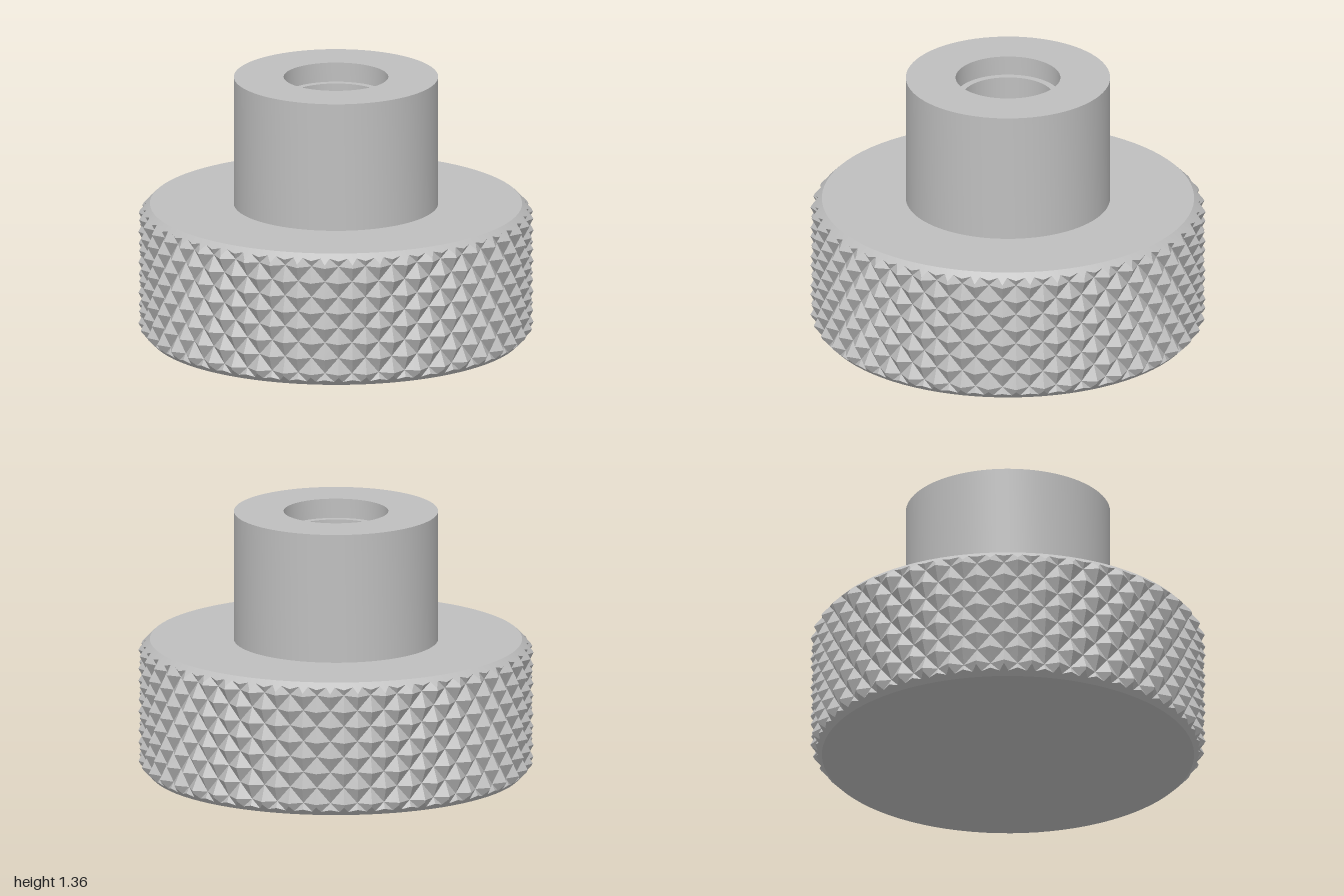
import * as THREE from 'three';
import { toCreasedNormals } from 'three/addons/utils/BufferGeometryUtils.js';

const COLUMNS = 88;      // half pitches around the rim
const TOP = 0.69;        // top of the grip
const CAP = 0.942;       // radius of the flat faces inside the chamfers
const DEPTH = 0.042;     // groove depth
const HALF = 0.08;       // half pitch in height

// Radius of the chamfer cones at a height
const chamfer = (y) => CAP + Math.min(y, TOP - y);

// Diamond knurl: pyramid peaks and groove crossings alternate on a lattice
function knurlGeometry() {
  const rows = [];
  for (let j = -1; j <= 8; j++) {
    const y = TOP / 2 + (j - 3.5) * HALF;
    rows.push({ y: THREE.MathUtils.clamp(y, 0, TOP), over: Math.max(-y, y - TOP, 0) / HALF });
  }
  const point = (i, j) => {
    const { y, over } = rows[j];
    const peak = (i + j) % 2 !== 0;
    const r = 1 - DEPTH * (peak ? over : 1 - over);
    return { a: (i / COLUMNS) * Math.PI * 2, y, r, f: r - chamfer(y) };
  };
  const positions = [];
  const emit = (p) => {
    const r = Math.min(p.r, chamfer(p.y));
    positions.push(Math.sin(p.a) * r, p.y, Math.cos(p.a) * r);
  };
  // Keep the part of a triangle on one side of the chamfer
  const clip = (tri, sign) => {
    const out = [];
    tri.forEach((p, k) => {
      const q = tri[(k + 1) % 3];
      if (p.f * sign >= 0) out.push(p);
      if (p.f * q.f < 0) {
        const t = p.f / (p.f - q.f);
        const mix = (key) => p[key] + (q[key] - p[key]) * t;
        out.push({ a: mix('a'), y: mix('y'), r: mix('r'), f: 0 });
      }
    });
    for (let k = 1; k + 1 < out.length; k++) [out[0], out[k], out[k + 1]].forEach(emit);
  };
  for (let j = 0; j < rows.length - 1; j++) {
    for (let i = 0; i < COLUMNS; i++) {
      const a = point(i, j), b = point(i + 1, j), c = point(i + 1, j + 1), d = point(i, j + 1);
      // The diagonal follows the groove
      const tris = (i + j) % 2 === 0 ? [[a, b, c], [a, c, d]] : [[a, b, d], [b, c, d]];
      for (const tri of tris) {
        clip(tri, -1);
        clip(tri, 1);
      }
    }
  }
  const geometry = new THREE.BufferGeometry();
  geometry.setAttribute('position', new THREE.Float32BufferAttribute(positions, 3));
  return toCreasedNormals(geometry, 0.25);
}

export function createModel() {
  const group = new THREE.Group();
  const metal = new THREE.MeshStandardMaterial({ color: 0xbfbfbf });
  metal.name = 'grey metal';
  const add = (name, geometry) => {
    const mesh = new THREE.Mesh(geometry, metal);
    mesh.name = name;
    group.add(mesh);
    return mesh;
  };

  add('knurledGrip', knurlGeometry());

  // Grip top, hub and stepped bore in one turned profile
  const profile = [
    [CAP, TOP], [0.517, TOP], [0.517, 1.355], [0.265, 1.355],
    [0.265, 1.255], [0.23, 1.255], [0.23, 0.85],
  ].map(([x, y]) => new THREE.Vector2(x, y));
  add('hub', toCreasedNormals(new THREE.LatheGeometry(profile, COLUMNS), 0.5));

  // Underside
  add('base', new THREE.CircleGeometry(CAP, COLUMNS).rotateX(Math.PI / 2));

  // D-shaped shaft socket with its flat towards the front
  const seat = new THREE.Shape().absarc(0, 0, 0.23, 0, Math.PI * 2);
  const flat = Math.asin(0.105 / 0.215);
  const socket = new THREE.Path();
  socket.absarc(0, 0, 0.215, -flat, Math.PI + flat, false);
  socket.closePath();
  seat.holes.push(socket);
  const seatGeometry = new THREE.ExtrudeGeometry(seat, { depth: 0.6, bevelEnabled: false, curveSegments: 44 });
  seatGeometry.rotateX(-Math.PI / 2);
  add('shaftSocket', toCreasedNormals(seatGeometry, 0.5)).position.y = 0.25;

  // Closed end of the socket
  add('socketFloor', new THREE.CircleGeometry(0.23, 44).rotateX(-Math.PI / 2)).position.y = 0.25;

  return group;
}
